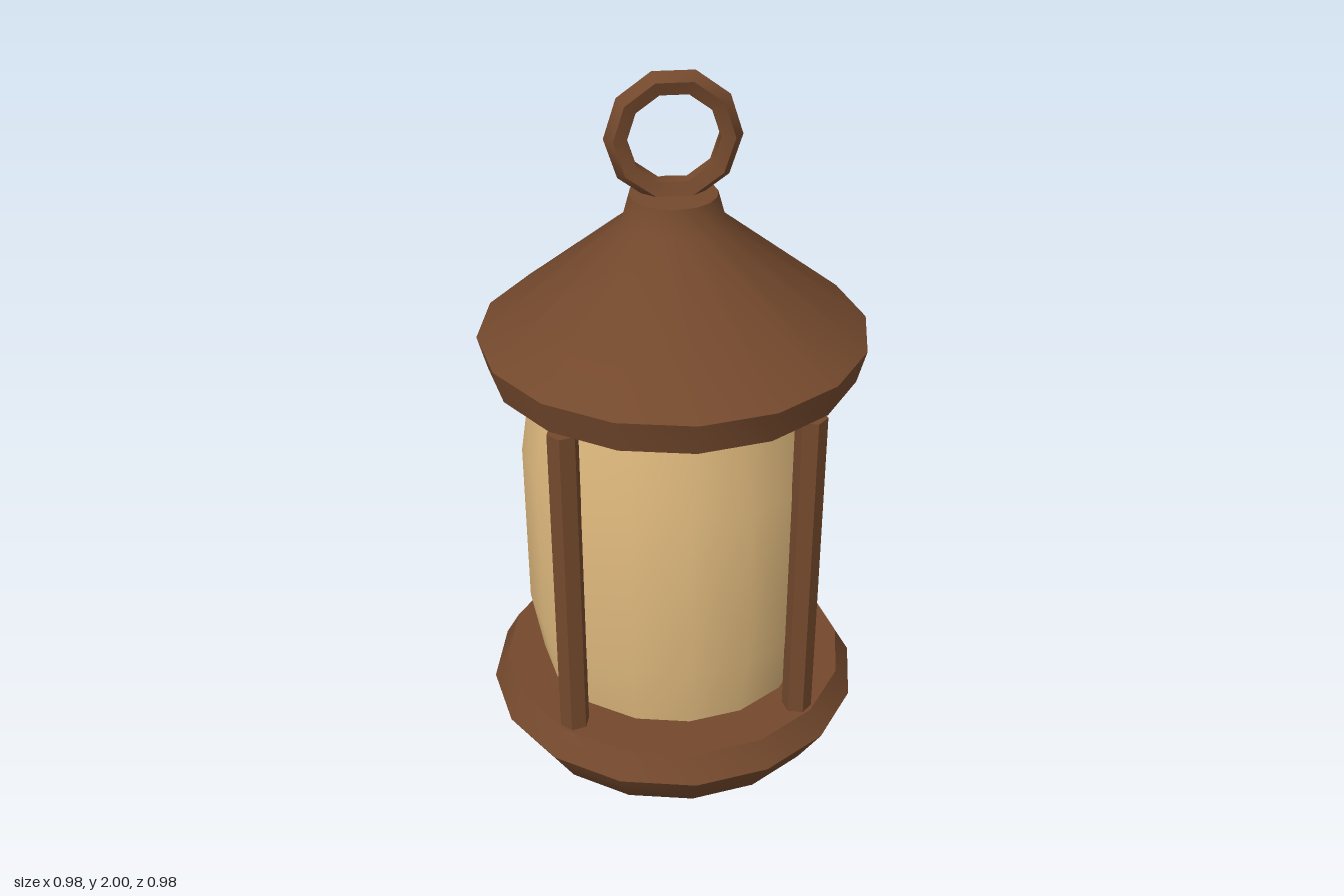
import * as THREE from 'three';
import { toCreasedNormals } from 'three/addons/utils/BufferGeometryUtils.js';

const wood = new THREE.MeshStandardMaterial({ color: 0x74492d });
wood.name = 'brown wood';
const glass = new THREE.MeshStandardMaterial({ color: 0xe0ba7e });
glass.name = 'warm glass';

// Add a named mesh, keeping edges sharper than 40 degrees
function add(group, name, geometry, material) {
  const mesh = new THREE.Mesh(toCreasedNormals(geometry, 40 * Math.PI / 180), material);
  mesh.name = name;
  group.add(mesh);
  return mesh;
}

// 16-sided turned part; profile runs [radius, height] from bottom to top
const turned = (profile) =>
  new THREE.LatheGeometry(profile.map(([r, y]) => new THREE.Vector2(r, y)), 16);

export function createModel() {
  const lantern = new THREE.Group();
  lantern.name = 'lantern';

  // Bowl-shaped base ending in a blunt point
  add(lantern, 'base', turned([
    [0, 0.004], [0.08, 0.018], [0.24, 0.132], [0.42, 0.225],
    [0.488, 0.335], [0.45, 0.403], [0, 0.403],
  ]), wood);

  // Barrel-shaped glass
  add(lantern, 'glass', turned([
    [0, 0.395], [0.3, 0.395], [0.35, 0.425], [0.38, 0.6],
    [0.38, 1.05], [0.35, 1.25], [0.3, 1.29], [0, 1.29],
  ]), glass);

  // Conical roof with a turned-in rim and a small cap
  add(lantern, 'roof', turned([
    [0, 1.287], [0.45, 1.287], [0.472, 1.37], [0.122, 1.65],
    [0.104, 1.715], [0, 1.718],
  ]), wood);

  // Four hexagonal posts on the diagonals
  for (let i = 0; i < 4; i++) {
    const angle = Math.PI / 4 + i * Math.PI / 2;
    const post = add(lantern, 'post', new THREE.CylinderGeometry(0.038, 0.038, 0.877, 6), wood);
    post.position.set(0.407 * Math.sin(angle), 0.8285, 0.407 * Math.cos(angle));
    post.rotation.y = angle + Math.PI / 2;
  }

  // Hanging ring
  const ring = add(lantern, 'hangingRing', new THREE.TorusGeometry(0.13, 0.029, 5, 10), wood);
  ring.position.y = 1.849;

  return lantern;
}
